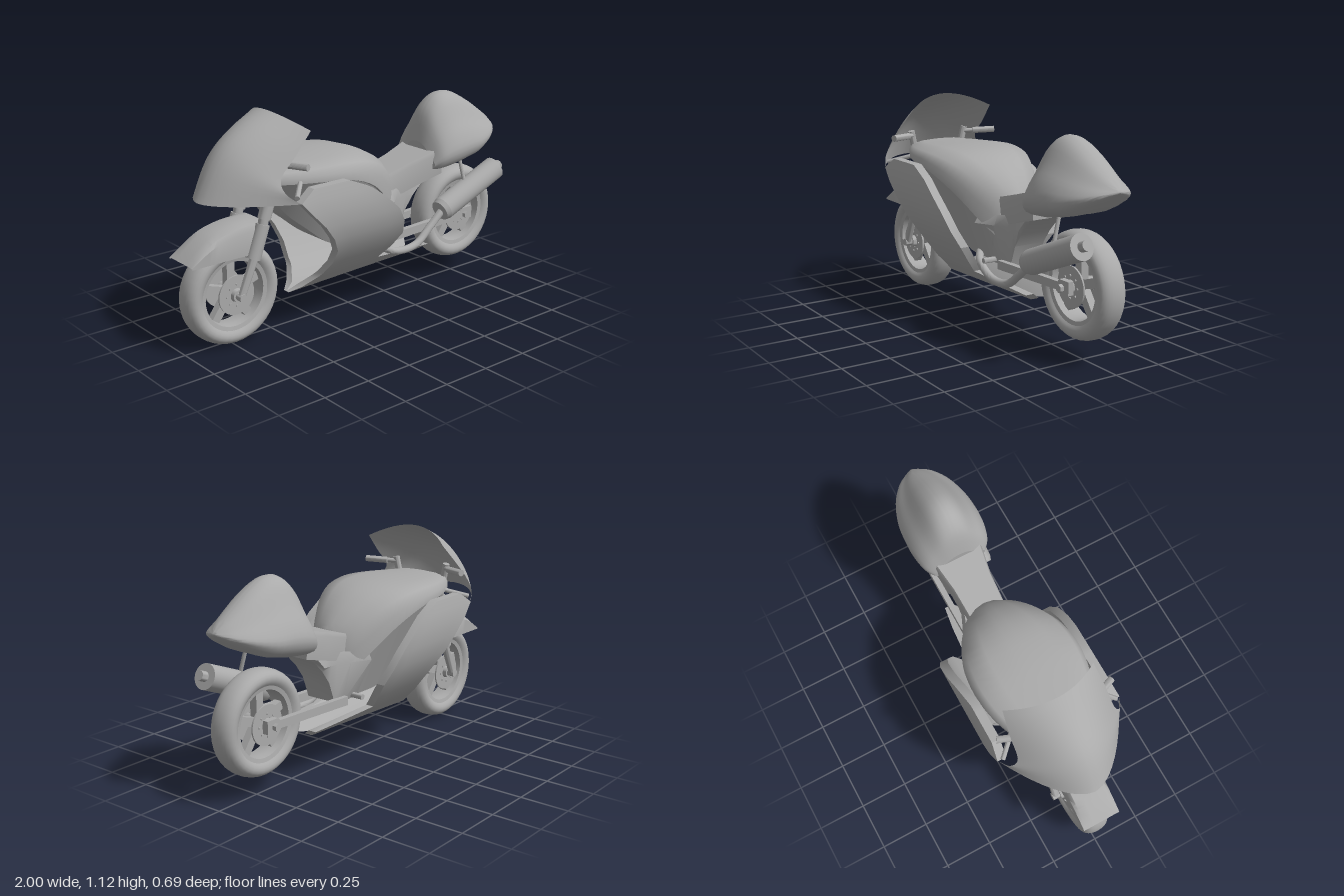
import * as THREE from 'three';
import { toCreasedNormals } from 'three/addons/utils/BufferGeometryUtils.js';

const grey = new THREE.MeshStandardMaterial({ color: 0xaaaaaa, side: THREE.DoubleSide });
grey.name = 'bodyGrey';
const V = (x, y, z) => new THREE.Vector3(x, y, z);

function add(parent, name, geometry, crease = 0.7) {
  const mesh = new THREE.Mesh(toCreasedNormals(geometry, crease), grey);
  mesh.name = name;
  parent.add(mesh);
  return mesh;
}

// Skin over a list of sections; rings are symmetric, so caps join i with n-1-i
function loft(sections, closed = true) {
  const n = sections[0].length, index = [];
  const quad = (a, b, c, d) => index.push(a, b, c, a, c, d);
  for (let s = 0; s < sections.length - 1; s++)
    for (let i = 0; i < (closed ? n : n - 1); i++) {
      const j = (i + 1) % n;
      quad(s * n + i, s * n + j, (s + 1) * n + j, (s + 1) * n + i);
    }
  if (closed)
    for (const o of [0, (sections.length - 1) * n])
      for (let i = 0; i < n / 2 - 1; i++) quad(o + i, o + i + 1, o + n - 2 - i, o + n - 1 - i);
  const g = new THREE.BufferGeometry();
  g.setAttribute('position', new THREE.Float32BufferAttribute(sections.flat().flatMap(p => p.toArray()), 3));
  g.setIndex(index);
  return g;
}

// Smoothly resample a table of number rows
function smooth(rows, count) {
  const out = [];
  for (let k = 0; k <= count; k++) {
    const t = (k / count) * (rows.length - 1), i = Math.min(Math.floor(t), rows.length - 2), f = t - i;
    const at = m => rows[Math.max(0, Math.min(rows.length - 1, m))];
    out.push(rows[0].map((_, c) => {
      const [a, b, d, e] = [at(i - 1)[c], at(i)[c], at(i + 1)[c], at(i + 2)[c]];
      return b + 0.5 * f * (d - a + f * (2 * a - 5 * b + 4 * d - e + f * (3 * (b - d) + e - a)));
    }));
  }
  return out;
}

// Full ring at x from a half outline of [z, y]
const ring = (x, half) => [
  ...half.map(([z, y]) => V(x, y, z)),
  ...half.slice().reverse().map(([z, y]) => V(x, y, -z)),
];

// Straight round bar between two points
function bar(parent, name, a, b, r0, r1 = r0, sides = 20) {
  const d = b.clone().sub(a);
  const mesh = add(parent, name, new THREE.CylinderGeometry(r1, r0, d.length(), sides));
  mesh.position.copy(a).addScaledVector(d, 0.5);
  mesh.quaternion.setFromUnitVectors(V(0, 1, 0), d.normalize());
}

function plate(parent, name, points, thickness, z) {
  const shape = new THREE.Shape(points.map(p => new THREE.Vector2(...p)));
  const g = new THREE.ExtrudeGeometry(shape, { depth: thickness, bevelEnabled: false });
  add(parent, name, g).position.z = z - thickness / 2;
}

function wheel(name, x, y) {
  const g = new THREE.Group();
  g.name = name;
  g.position.set(x, y, 0);
  const turned = (part, pts, seg = 40) =>
    add(g, part, new THREE.LatheGeometry(pts.map(p => new THREE.Vector2(...p)), seg)).rotation.x = Math.PI / 2;
  const tyre = smooth([[0.185, -0.055], [0.205, -0.068], [0.23, -0.068], [0.25, -0.05], [0.26, -0.02],
    [0.26, 0.02], [0.25, 0.05], [0.23, 0.068], [0.205, 0.068], [0.185, 0.055]], 18);
  turned('tyre', tyre);
  turned('rim', [[0.19, -0.055], [0.165, -0.05], [0.16, -0.02], [0.16, 0.02], [0.165, 0.05], [0.19, 0.055]]);
  turned('hub', [[0, -0.085], [0.03, -0.085], [0.035, -0.05], [0.035, 0.05], [0.03, 0.085], [0, 0.085]], 24);
  for (let i = 0; i < 5; i++) {
    const a = (i / 5) * Math.PI * 2 + Math.PI / 2;
    const spoke = add(g, 'spoke', new THREE.BoxGeometry(0.15, 0.045, 0.04));
    spoke.position.set(Math.cos(a) * 0.095, Math.sin(a) * 0.095, 0);
    spoke.rotation.z = a;
  }
  // Brake discs with a ring of bolts
  for (const s of [-1, 1]) {
    const disc = new THREE.Shape().absarc(0, 0, 0.1, 0, Math.PI * 2);
    disc.holes.push(new THREE.Path().absarc(0, 0, 0.035, 0, Math.PI * 2, true));
    add(g, 'brakeDisc', new THREE.ExtrudeGeometry(disc, { depth: 0.008, bevelEnabled: false, curveSegments: 24 }))
      .position.z = s * 0.062 - 0.004;
    for (let i = 0; i < 8; i++) {
      const a = (i / 8) * Math.PI * 2, p = V(Math.cos(a) * 0.055, Math.sin(a) * 0.055, s * 0.062);
      bar(g, 'discBolt', p, p.clone().setZ(s * 0.072), 0.006, 0.006, 8);
    }
  }
  return g;
}

export function createModel() {
  const bike = new THREE.Group();
  bike.name = 'racingMotorcycle';
  bike.add(wheel('frontWheel', -0.74, 0.262), wheel('rearWheel', 0.735, 0.36));

  // Front mudguard: open channel with a curved top
  const guard = smooth([[-1, 0.47, 0.462], [-0.93, 0.53, 0.462], [-0.85, 0.578, 0.462], [-0.75, 0.605, 0.462],
    [-0.66, 0.612, 0.47], [-0.58, 0.605, 0.58]], 15);
  add(bike, 'frontMudguard', loft(guard.map(([x, t, b]) => ring(x, [[0.1, b],
    [0.1, b + (t - b) * 0.75], [0.085, b + (t - b) * 0.93], [0.04, t]])), false));

  // Nose cowl and windscreen: front ridge [x, y] and rear edge [x, y, z]; pointed low down, rounder on top
  const nose = smooth([[-0.9, 0.738, -0.55, 0.745, 0.335], [-0.82, 0.89, -0.61, 0.795, 0.3],
    [-0.74, 0.99, -0.61, 0.86, 0.262], [-0.63, 1.065, -0.52, 0.95, 0.255], [-0.505, 1.12, -0.42, 1.05, 0.24]], 14);
  add(bike, 'noseCowl', loft(nose.map(([px, py, bx, by, bz], r) => {
    const row = [];
    for (let i = -12; i <= 12; i++) {
      const u = Math.sin(i / 12 * Math.PI / 2), k = Math.abs(u) ** (1.75 + 0.25 * r / 14);
      row.push(V(px + (bx - px) * k, py + (by - py) * k, bz * u));
    }
    return row;
  }), false), 1);

  // Side fairings: horizontal slices [y, front x, rear x, z]
  const hull = [[0.17, -0.4, 0.3, 0.02], [0.2, -0.35, 0.42, 0.065], [0.25, -0.31, 0.455, 0.12],
    [0.268, -0.3, 0.33, 0.14], [0.29, -0.295, 0.06, 0.165], [0.36, -0.28, 0.1, 0.225], [0.44, -0.295, 0.125, 0.282],
    [0.52, -0.345, 0.1, 0.322], [0.6, -0.41, 0.05, 0.341], [0.68, -0.49, -0.04, 0.345],
    [0.745, -0.55, -0.13, 0.338], [0.8, -0.47, -0.26, 0.325]];
  for (const s of [-1, 1])
    add(bike, 'sideFairing', loft(hull.map(([y, xf, xb, z]) => {
      const rise = x => y + Math.max(0, 0.27 - y) * (x + 0.4) * 0.3;
      const line = (zz, k) => { const x = xf + (xb - xf) * k; return V(x, rise(x), s * zz); };
      const ks = [0, 0.2, 0.4, 0.6, 0.8, 1];
      return [...ks.map(k => line(z, k)), ...ks.slice().reverse().map(k => line(Math.max(0, z - 0.045), k))];
    })), 0.6);

  // Tank and body below it: [x, top y, shoulder y, half width, bottom y, bottom half width]
  const trunk = smooth([[-0.565, 0.868, 0.8, 0.18, 0.74, 0.1], [-0.47, 0.872, 0.8, 0.23, 0.62, 0.1],
    [-0.35, 0.88, 0.797, 0.268, 0.52, 0.1], [-0.22, 0.885, 0.785, 0.282, 0.42, 0.1], [-0.08, 0.877, 0.735, 0.265, 0.36, 0.09],
    [0.03, 0.847, 0.66, 0.225, 0.35, 0.085], [0.12, 0.795, 0.57, 0.175, 0.35, 0.08],
    [0.185, 0.735, 0.5, 0.125, 0.35, 0.075], [0.22, 0.69, 0.44, 0.08, 0.35, 0.07]], 24);
  add(bike, 'tank', loft(trunk.map(([x, t, s, w]) => ring(x, [[w * 0.9, s - 0.005], [w, s],
    [w, s + (t - s) * 0.4], [w * 0.9, s + (t - s) * 0.75], [w * 0.55, s + (t - s) * 0.95], [w * 0.1, t]]))), 1);
  add(bike, 'engineBody', loft(trunk.map(([x, , s, w, b, wb]) => ring(x, [[wb, b],
    [(wb + w * 0.94) / 2, (b + s) / 2], [w * 0.94, s], [0.02, s + 0.01]]))));

  // Seat, its tail cowl and the panel under the seat
  add(bike, 'seat', loft([[0.18, 0.685, 0.54, 0.1], [0.34, 0.727, 0.585, 0.108], [0.53, 0.78, 0.64, 0.14]]
    .map(([x, t, b, w]) => ring(x, [[w * 0.95, b], [w, t - 0.02], [w * 0.93, t]]))));
  const egg = smooth([[0, 0], [0.5, 0], [0.88, 0.09], [1, 0.24], [0.94, 0.37], [0.82, 0.5], [0.66, 0.63],
    [0.52, 0.76], [0.37, 0.89], [0.2, 0.97], [0.02, 1]], 20);
  const tail = smooth([[0.47, 0.8, 0.66, 0.145], [0.5, 0.93, 0.655, 0.175], [0.54, 1, 0.658, 0.192],
    [0.6, 1.042, 0.665, 0.202], [0.68, 1.043, 0.68, 0.202], [0.78, 0.997, 0.705, 0.19], [0.88, 0.93, 0.755, 0.152],
    [0.95, 0.88, 0.8, 0.095], [0.985, 0.852, 0.828, 0.035], [0.995, 0.843, 0.837, 0.005]], 27);
  add(bike, 'tailCowl', loft(tail.map(([x, t, b, w]) => ring(x, egg.map(([z, h]) => [z * w, b + (t - b) * h])))), 0.8);
  const panel = [[0.1, 0.6, 0.34, 0.185], [0.2, 0.6, 0.34, 0.135], [0.27, 0.61, 0.35, 0.105], [0.31, 0.62, 0.46, 0.1],
    [0.36, 0.63, 0.53, 0.1], [0.42, 0.65, 0.59, 0.105], [0.5, 0.68, 0.635, 0.115]];
  add(bike, 'rearPanel', loft(panel.map(([x, t, b, w]) =>
    ring(x, [[0.085, b], [w, Math.max(b + 0.02, 0.55)], [w * 0.85, t]]))));

  // Mirrored forks, bars, brackets and swingarm
  for (const s of [-1, 1]) {
    const z = s * 0.105;
    bar(bike, 'forkLeg', V(-0.74, 0.262, z), V(-0.655, 0.46, z), 0.018, 0.022);
    bar(bike, 'forkSleeve', V(-0.665, 0.44, z), V(-0.607, 0.6, z), 0.034);
    bar(bike, 'forkTube', V(-0.607, 0.6, z), V(-0.575, 0.74, z), 0.025);
    bar(bike, 'forkJoint', V(-0.6, 0.625, z), V(-0.578, 0.69, z), 0.032);
    bar(bike, 'barRiser', V(-0.578, 0.72, s * 0.12), V(-0.57, 0.92, s * 0.165), 0.018);
    bar(bike, 'handlebar', V(-0.565, 0.897, s * 0.16), V(-0.495, 0.903, s * 0.3), 0.012);
    bar(bike, 'grip', V(-0.535, 0.9, s * 0.2), V(-0.492, 0.903, s * 0.312), 0.017);
    bar(bike, 'fairingBracket', V(-0.56, 0.77, s * 0.315), V(-0.46, 0.81, s * 0.21), 0.012);
    bar(bike, 'footPeg', V(0.14, 0.36, s * 0.07), V(0.14, 0.36, s * 0.16), 0.014);
    plate(bike, 'swingarm', [[0.2, 0.325], [0.2, 0.37], [0.7, 0.385], [0.715, 0.4], [0.785, 0.4], [0.785, 0.335],
      [0.715, 0.335], [0.7, 0.345]], 0.03, s * 0.1);
    bar(bike, 'axleNut', V(0.735, 0.362, s * 0.1), V(0.735, 0.362, s * 0.135), 0.02, 0.02, 6);
  }
  bar(bike, 'frontAxle', V(-0.74, 0.262, -0.125), V(-0.74, 0.262, 0.125), 0.02);
  bar(bike, 'rearAxle', V(0.735, 0.362, -0.12), V(0.735, 0.362, 0.12), 0.015);
  const clamp = add(bike, 'forkClamp', new THREE.BoxGeometry(0.07, 0.03, 0.27));
  clamp.position.set(-0.58, 0.72, 0);
  clamp.rotation.z = -0.2;

  // Exhaust on the model's front side
  const pipe = new THREE.CatmullRomCurve3([V(0, 0.37, 0.09), V(0.08, 0.34, 0.14), V(0.2, 0.285, 0.15),
    V(0.34, 0.29, 0.15), V(0.44, 0.36, 0.145), V(0.54, 0.445, 0.145)]);
  add(bike, 'exhaustPipe', new THREE.TubeGeometry(pipe, 40, 0.02, 14));
  const along = t => V(0.515 + 0.405 * t, 0.435 + 0.165 * t, 0.145);
  bar(bike, 'silencerCone', along(0), along(0.06), 0.055, 0.063, 28);
  bar(bike, 'silencer', along(0.06), along(1), 0.063, 0.063, 28);
  bar(bike, 'silencerOutlet', along(1), along(1.09), 0.025);
  bar(bike, 'silencerBracket', V(0.7, 0.55, 0.14), V(0.69, 0.7, 0.1), 0.01);
  return bike;
}
